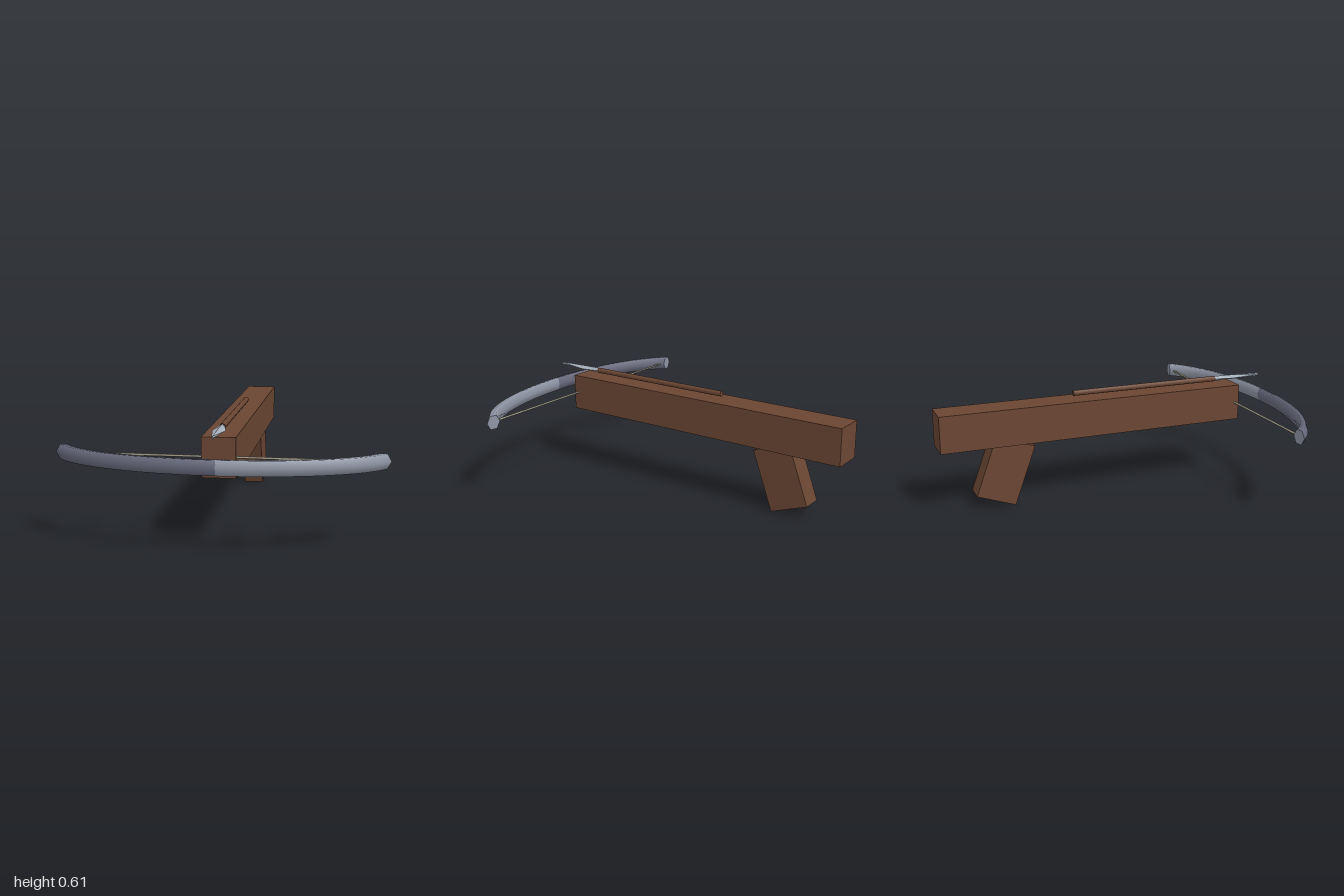
import * as THREE from 'three';

const material = (name, color, extra = {}) => {
  const m = new THREE.MeshStandardMaterial({ color, ...extra });
  m.name = name;
  return m;
};

export function createModel() {
  const wood = material('brown wood', 0x6b4633);
  const lightSteel = material('light steel', 0x8e95a4);
  const darkSteel = material('dark steel', 0x686a7d);
  const bright = material('bright metal', 0xa4aeb9, { flatShading: true });
  const cord = material('cord', 0xa09a88);

  const model = new THREE.Group();
  model.name = 'crossbow';
  const add = (name, geometry, mat, x = 0, y = 0, z = 0) => {
    const mesh = new THREE.Mesh(geometry, mat);
    mesh.name = name;
    mesh.position.set(x, y, z);
    model.add(mesh);
    return mesh;
  };

  // Stock and slanted grip
  add('stock', new THREE.BoxGeometry(0.172, 0.205, 1.77), wood, 0, 0.4575, -0.115);
  const grip = add('grip', new THREE.BoxGeometry(0.115, 0.35, 0.23), wood, 0, 0.204, -0.6425);
  grip.rotation.x = THREE.MathUtils.degToRad(20);

  // Bow: a six-sided arc flattened front to back, in two colours, with end caps
  const R = 0.8455, r = 0.0435, bowY = 0.457, bowZ = 0.6;
  const start = THREE.MathUtils.degToRad(20);
  const split = THREE.MathUtils.degToRad(88.7);
  const end = Math.PI - start;
  const layFlat = (g, angle) => g.rotateZ(angle).rotateX(Math.PI / 2).scale(1, 1, 0.45);
  const limb = (from, to) => layFlat(new THREE.TorusGeometry(R, r, 6, 24, to - from), from);
  add('leftLimb', limb(start, split), lightSteel, 0, bowY, bowZ);
  add('rightLimb', limb(split, end), darkSteel, 0, bowY, bowZ);
  for (const [name, angle, turn] of [['leftTip', start, 1], ['rightTip', end, -1]]) {
    const cap = new THREE.CircleGeometry(r, 6).rotateX(turn * Math.PI / 2).translate(R, 0, 0);
    add(name, layFlat(cap, angle), lightSteel, 0, bowY, bowZ);
  }

  // Bowstring
  add('string', new THREE.CylinderGeometry(0.006, 0.006, 1.53, 8).rotateZ(Math.PI / 2),
    cord, 0, bowY, 0.745);

  // Bolt shaft
  add('boltShaft', new THREE.CylinderGeometry(0.016, 0.016, 0.88, 8).rotateX(Math.PI / 2),
    wood, 0, 0.59, 0.21);

  // Bolt head: diamond sections given as [z, half width, half height], back to front
  const sections = [[0.65, 0.014, 0.014], [0.76, 0.034, 0.013], [0.945, 0.003, 0.009]];
  const head = new THREE.CylinderGeometry(1, 1, 2, 4, 2).rotateX(Math.PI / 2);
  const p = head.attributes.position;
  for (let i = 0; i < p.count; i++) {
    const [z, w, h] = sections[Math.round(p.getZ(i)) + 1];
    p.setXYZ(i, p.getX(i) * w, p.getY(i) * h, z);
  }
  head.computeVertexNormals();
  add('boltHead', head, bright, 0, 0.59, 0);

  return model;
}
